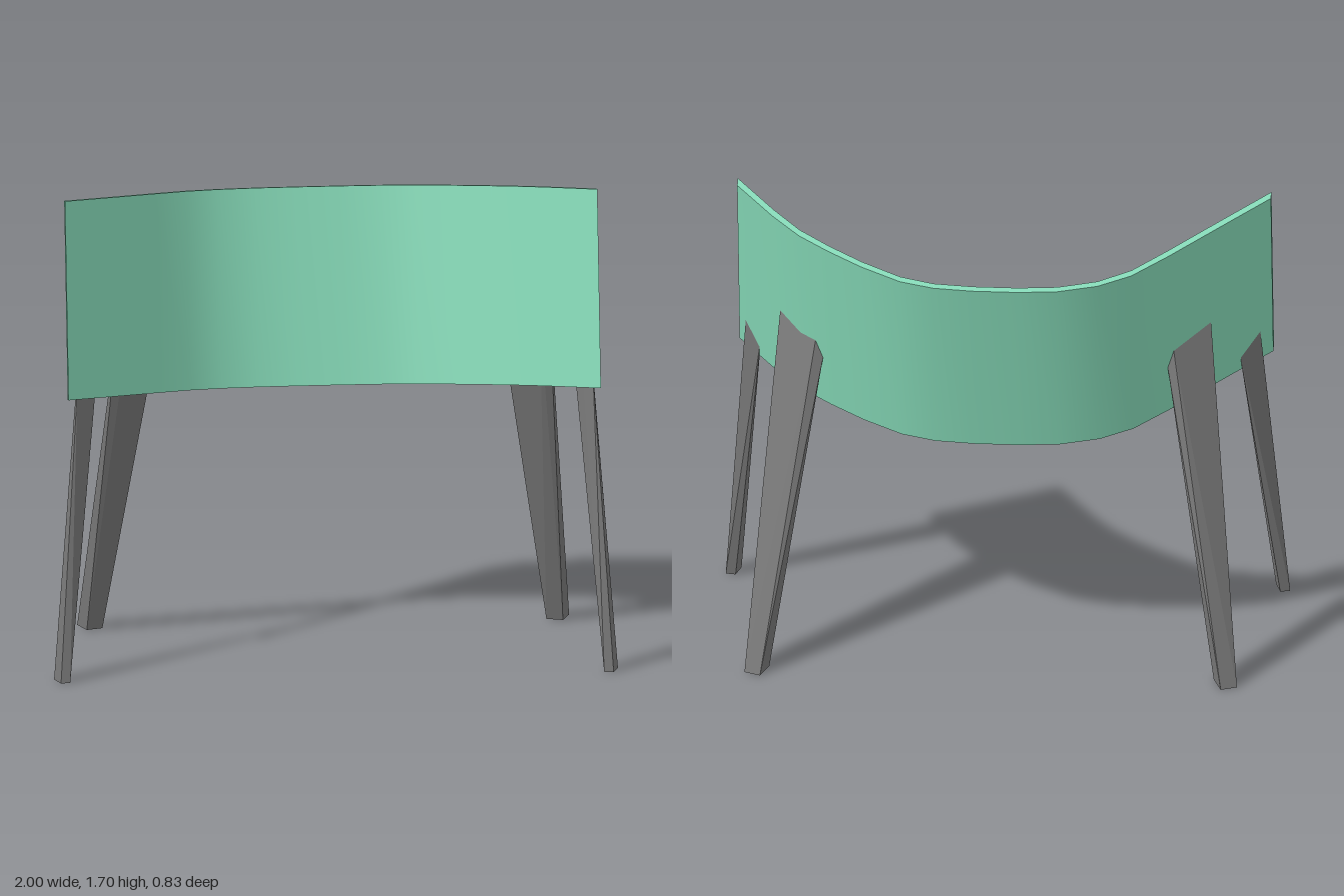
import * as THREE from 'three';
import { toCreasedNormals } from 'three/addons/utils/BufferGeometryUtils.js';
import { ConvexGeometry } from 'three/addons/geometries/ConvexGeometry.js';

const TILT = 0.208, HEIGHT = 0.705, THICK = 0.025;
const BASE_Y = 0.892, BASE_Z = -0.272; // lowest rear point of the shell

// Outer curve of the shell: x, and depth forward from its rearmost point
const OUTER = [
  [-0.945, 0.555], [-0.83, 0.444], [-0.72, 0.337], [-0.6, 0.22], [-0.476, 0.108],
  [-0.36, 0.046], [-0.22, 0.01], [-0.08, 0], [0.08, 0], [0.22, 0.01],
  [0.34, 0.041], [0.48, 0.115], [0.6, 0.194], [0.71, 0.276], [0.81, 0.38], [0.945, 0.544],
];

// Inner curve keeps an even wall while the ends stay cut along the side planes
function innerPoint(i) {
  const a = OUTER[Math.max(i - 1, 0)], b = OUTER[Math.min(i + 1, OUTER.length - 1)];
  const slope = (b[1] - a[1]) / (b[0] - a[0]);
  return [OUTER[i][0], OUTER[i][1] + THICK * Math.hypot(1, slope)];
}

// Curved backrest, extruded upward and leaned back
function makeShell(material) {
  const inner = OUTER.map((p, i) => innerPoint(i)).reverse();
  const shape = new THREE.Shape([...OUTER, ...inner].map(([x, d]) => new THREE.Vector2(x, -d)));
  const geometry = new THREE.ExtrudeGeometry(shape, { depth: HEIGHT, bevelEnabled: false });
  geometry.rotateX(-Math.PI / 2);
  const mesh = new THREE.Mesh(toCreasedNormals(geometry, 0.6), material);
  mesh.rotation.x = -TILT;
  mesh.position.set(0, BASE_Y, BASE_Z);
  mesh.name = 'curvedBackrest';
  return mesh;
}

// x within the shell wall at a given height and depth
function shellX(side, y, z) {
  const d = (y - BASE_Y) * Math.sin(TILT) + (z - BASE_Z) * Math.cos(TILT);
  const half = OUTER.filter(([x]) => x * side > 0).sort((a, b) => a[1] - b[1]);
  let i = 1;
  while (i < half.length - 1 && half[i][1] < d) i++;
  const [a, b] = [half[i - 1], half[i]];
  const x = a[0] + (b[0] - a[0]) * (d - a[1]) / (b[1] - a[1]);
  return x - side * 0.008;
}

// Tapered four-sided leg whose upper corners die into the shell
// foot: [x, z] corners; top: [y, z] corners in the same order
function makeLeg(name, side, foot, top, dx, dz, material) {
  const points = [
    ...foot.map(([x, z]) => new THREE.Vector3(side * (x + dx), 0.004, z + dz)),
    ...top.map(([y, z]) => new THREE.Vector3(shellX(side, y, z), y, z)),
  ];
  const mesh = new THREE.Mesh(new ConvexGeometry(points), material);
  mesh.name = name;
  return mesh;
}

export function createModel() {
  const group = new THREE.Group();
  group.name = 'curvedChairFrame';
  const green = new THREE.MeshStandardMaterial({ color: 0x86dab8 });
  const grey = new THREE.MeshStandardMaterial({ color: 0x777777, flatShading: true });
  group.add(makeShell(green));

  const frontFoot = [[1, 0.36], [0.965, 0.355], [0.947, 0.41], [0.98, 0.415]];
  const frontTop = [[1.165, 0.2], [1.08, 0.15], [1.0, 0.205], [1.04, 0.235]];
  const rearFoot = [[0.89, -0.372], [0.834, -0.395], [0.805, -0.32], [0.862, -0.3]];
  const rearTop = [[1.265, 0.02], [1.205, -0.093], [1.14, -0.1], [1.2, 0]];

  for (const side of [1, -1]) {
    const label = side > 0 ? 'Left' : 'Right';
    const left = side > 0;
    group.add(makeLeg('front' + label + 'Leg', side, frontFoot, frontTop, 0, left ? 0 : -0.012, grey));
    group.add(makeLeg('rear' + label + 'Leg', side, rearFoot, rearTop, left ? 0 : -0.035, left ? 0 : -0.01, grey));
  }
  return group;
}
